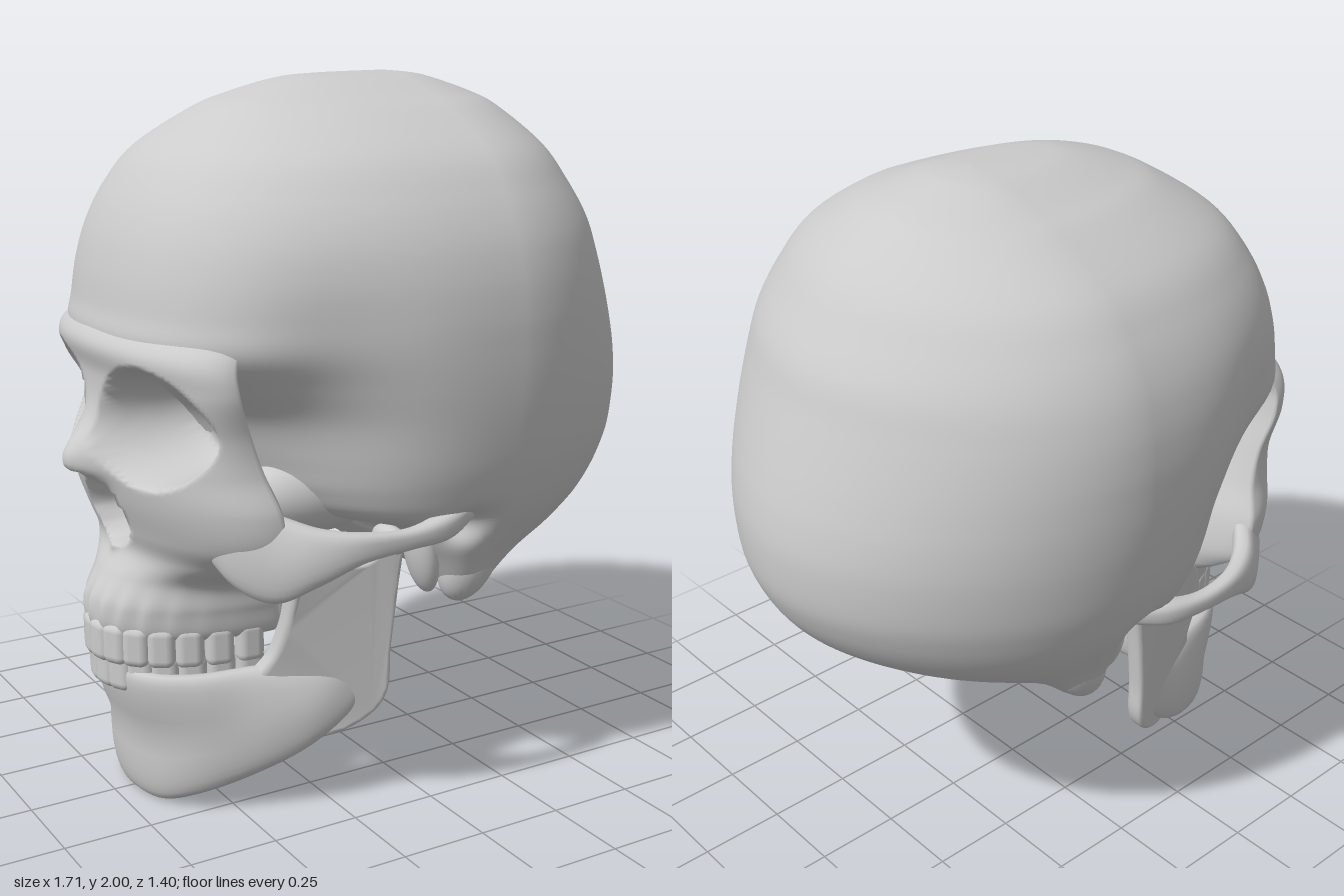
import * as THREE from 'three';
import { mergeVertices } from 'three/addons/utils/BufferGeometryUtils.js';
import { RoundedBoxGeometry } from 'three/addons/geometries/RoundedBoxGeometry.js';

const bone = new THREE.MeshStandardMaterial({ color: 0xcccccc, side: THREE.DoubleSide });
const { smoothstep, lerp } = THREE.MathUtils;
const bell = (v, centre, width) => Math.exp(-(((v - centre) / width) ** 2));
const squared = (v, p) => Math.sign(v) * Math.abs(v) ** p;

// Catmull-Rom through rows of numbers, t from 0 to 1
function spline(rows, t) {
  const f = t * (rows.length - 1);
  const i = Math.min(Math.floor(f), rows.length - 2);
  const k = f - i;
  const row = n => rows[Math.max(0, Math.min(rows.length - 1, n))];
  return rows[0].map((_, c) => {
    const [a, b, d, e] = [row(i - 1)[c], row(i)[c], row(i + 1)[c], row(i + 2)[c]];
    return b + 0.5 * k * (d - a + k * (2 * a - 5 * b + 4 * d - e + k * (3 * (b - d) + e - a)));
  });
}

// Closed rings joined into a smooth skin; point(angle, t) returns [x, y, z]
function skin(around, along, point) {
  const pos = [], idx = [];
  for (let j = 0; j <= along; j++) {
    for (let i = 0; i < around; i++) {
      pos.push(...point((i / around) * Math.PI * 2, j / along));
      if (j === along) continue;
      const a = j * around + i, b = j * around + ((i + 1) % around);
      idx.push(a, a + around, b, b, a + around, b + around);
    }
  }
  const g = new THREE.BufferGeometry();
  g.setAttribute('position', new THREE.Float32BufferAttribute(pos, 3));
  g.setIndex(idx);
  g.computeVertexNormals();
  return g;
}

// Stations: x, y, z, half height, half thickness, outward lean of the upper half
function sweep(stations, around, along) {
  return skin(around, along, (a, t) => {
    const [x, y, z, h, w, lean] = spline(stations, t);
    const p = spline(stations, Math.max(0, t - 0.01)), q = spline(stations, Math.min(1, t + 0.01));
    const dx = q[0] - p[0], dz = q[2] - p[2], len = Math.hypot(dx, dz) || 1;
    const up = squared(Math.sin(a), 0.75);
    const out = w * squared(Math.cos(a), 0.7) + lean * Math.max(0, up);
    return [x - (dz / len) * out, y + h * up, z + (dx / len) * out];
  });
}

function mirrorZ(geometry) {
  const g = geometry.clone().scale(1, 1, -1);
  const ix = g.index.array;
  for (let i = 0; i < ix.length; i += 3) [ix[i], ix[i + 1]] = [ix[i + 1], ix[i]];
  g.computeVertexNormals();
  return g;
}

// Braincase rings: y, front x, back x, half width (widest at x = MID)
const MID = 0.14;
const CRANIUM = [
  [2.0, MID, MID, 0], [1.993, -0.08, 0.22, 0.08], [1.98, -0.2, 0.28, 0.145], [1.94, -0.34, 0.4, 0.255],
  [1.9, -0.43, 0.47, 0.355], [1.8, -0.58, 0.58, 0.515], [1.7, -0.66, 0.65, 0.6], [1.6, -0.71, 0.71, 0.655],
  [1.5, -0.74, 0.745, 0.685], [1.4, -0.757, 0.78, 0.698], [1.31, -0.765, 0.81, 0.7], [1.22, -0.67, 0.835, 0.697],
  [1.12, -0.56, 0.85, 0.687], [1.0, -0.5, 0.845, 0.667], [0.92, -0.46, 0.82, 0.645], [0.85, -0.38, 0.78, 0.62],
  [0.79, -0.14, 0.725, 0.59], [0.72, -0.06, 0.62, 0.545], [0.66, 0, 0.48, 0.48], [0.63, 0.04, 0.36, 0.35],
  [0.64, MID, MID, 0],
];
function craniumGeometry() {
  return skin(120, 120, (a, t) => {
    const [y, front, back, w] = spline(CRANIUM, t);
    const c = Math.cos(a), p = c > 0 ? 2 / 2.4 : 2 / 1.85;
    const x = MID - (c > 0 ? MID - front : MID - back) * squared(c, p) * Math.sign(c);
    let z = Math.max(0, w) * squared(Math.sin(a), p);
    // hollow temples and ear openings
    const dent = 0.06 * bell(x, -0.38, 0.2) * bell(y, 1.15, 0.33) + 0.08 * bell(x, 0.05, 0.05) * bell(y, 0.81, 0.045);
    z -= Math.sign(z) * Math.min(Math.abs(z), dent);
    // base drawn down towards the mastoids
    const drop = 0.09 * bell(x, 0.14, 0.1) * bell(Math.abs(z), 0.45, 0.08) * (1 - smoothstep(y, 0.64, 0.8));
    return [x, y - drop, z];
  });
}

// Face rings: y, midline x, half width, side x, depth behind the side
const FACE = [
  [1.5, -0.64, 0.36, -0.4, 0.05], [1.4, -0.712, 0.415, -0.48, 0.05], [1.31, -0.79, 0.472, -0.575, 0.06],
  [1.22, -0.775, 0.49, -0.58, 0.07], [1.1, -0.775, 0.475, -0.54, 0.08], [1.0, -0.79, 0.485, -0.51, 0.1],
  [0.9, -0.77, 0.52, -0.48, 0.12], [0.8, -0.735, 0.51, -0.46, 0.13], [0.73, -0.72, 0.43, -0.44, 0.13],
  [0.66, -0.76, 0.31, -0.41, 0.12], [0.58, -0.8, 0.29, -0.38, 0.1], [0.5, -0.79, 0.27, -0.37, 0.08],
  [0.49, -0.7, 0.19, -0.42, 0.06], [0.56, -0.66, 0.13, -0.45, 0.05], [0.58, -0.56, 0, -0.55, 0],
];
function faceGeometry() {
  return skin(160, 140, (a, t) => {
    const [y, mid, w, side, depth] = spline(FACE, t);
    const c = Math.cos(a), z = w * Math.sin(a);
    if (c <= 0) return [side - depth * c, y, z * (1 + 0.35 * c)];
    let x = side - (side - mid) * c;
    // eye sockets
    const eye = ((Math.abs(z) - 0.25) / 0.195) ** 2 + ((y - 1.11) / 0.16) ** 2;
    x = Math.min(x + 0.26 * (1 - smoothstep(eye, 0.35, 1.05)), side + 0.02);
    // nasal bones, nasal opening and its lower spine
    x -= 0.075 * bell(z, 0, 0.075) * bell(y, 0.98, 0.1) * smoothstep(y, 0.9, 0.97);
    const halfNose = 0.115 - 0.28 * Math.max(0, y - 0.82);
    const nose = (z / halfNose) ** 2 + ((y - 0.845) / 0.115) ** 2;
    x += 0.16 * (1 - smoothstep(nose, 0.5, 1.05));
    x -= 0.02 * bell(z, 0, 0.02) * bell(y, 0.74, 0.025);
    // ridges over the tooth roots
    x -= 0.006 * Math.cos(28 * a) * bell(y, 0.56, 0.06) * c;
    return [x, y, z];
  });
}

// Cheekbone running back into a thin arch
const CHEEK = [
  [-0.63, 0.87, 0.33, 0.05, 0.02, 0], [-0.57, 0.82, 0.42, 0.11, 0.038, -0.01], [-0.49, 0.785, 0.5, 0.115, 0.038, -0.02],
  [-0.4, 0.795, 0.565, 0.075, 0.035, -0.01], [-0.29, 0.815, 0.605, 0.04, 0.028, 0], [-0.16, 0.82, 0.615, 0.028, 0.025, 0],
  [-0.04, 0.83, 0.595, 0.035, 0.035, 0], [0.06, 0.85, 0.54, 0.03, 0.04, 0],
];

// Left half of the jaw body, chin first
const JAW = [
  [-0.675, 0.205, 0, 0.205, 0.047, 0.07], [-0.65, 0.205, 0.13, 0.2, 0.047, 0.07], [-0.585, 0.225, 0.225, 0.18, 0.047, 0.03],
  [-0.46, 0.26, 0.305, 0.155, 0.045, -0.01], [-0.33, 0.3, 0.365, 0.125, 0.038, -0.02],
  [-0.22, 0.35, 0.4, 0.09, 0.025, 0], [-0.17, 0.38, 0.42, 0.04, 0.01, 0],
];
const JAW_FULL = [...JAW.slice(1).reverse().map(([x, y, z, ...r]) => [x, y, -z, ...r]), ...JAW];

// Upright jaw branch with its two upper processes, its foot turned in to meet the body
function ramusGeometry() {
  const outline = [
    [-0.47, 0.36], [-0.41, 0.44], [-0.385, 0.55], [-0.375, 0.68], [-0.34, 0.765], [-0.285, 0.745], [-0.22, 0.695],
    [-0.15, 0.71], [-0.11, 0.77], [-0.085, 0.74], [-0.1, 0.62], [-0.12, 0.45], [-0.125, 0.34], [-0.16, 0.275],
    [-0.24, 0.225], [-0.34, 0.21], [-0.43, 0.25],
  ].map(p => new THREE.Vector2(...p));
  const shape = new THREE.Shape().moveTo(outline[0].x, outline[0].y).splineThru([...outline.slice(1), outline[0]]);
  let g = new THREE.ExtrudeGeometry(shape, {
    depth: 0.025, curveSegments: 4, bevelThickness: 0.018, bevelSize: 0.015, bevelSegments: 3,
  });
  const p = g.attributes.position;
  for (let i = 0; i < p.count; i++) {
    const turn = lerp(0.42, 0.14, smoothstep(p.getY(i), 0.3, 0.7));
    p.setZ(i, p.getZ(i) + 0.415 + turn * (p.getX(i) + 0.11));
  }
  g.deleteAttribute('uv');
  g.deleteAttribute('normal');
  g = mergeVertices(g, 1e-4);
  g.computeVertexNormals();
  return g;
}

export function createModel() {
  const skull = new THREE.Group();
  skull.name = 'skull';
  const add = (name, geometry) => {
    const mesh = new THREE.Mesh(geometry, bone);
    mesh.name = name;
    skull.add(mesh);
    return mesh;
  };
  const addPair = (name, geometry) => {
    add(name + 'Left', geometry);
    add(name + 'Right', mirrorZ(geometry));
  };
  const knob = (centre, radii, tilt = 0) =>
    new THREE.SphereGeometry(1, 28, 20).scale(...radii).rotateZ(tilt).translate(...centre);

  add('cranium', craniumGeometry());
  add('upperFace', faceGeometry());
  addPair('cheekArch', sweep(CHEEK, 24, 48));

  // Skull base: wall behind the cheek and the processes below
  addPair('sphenoidWing', knob([-0.27, 0.9, 0.31], [0.22, 0.12, 0.12]));
  addPair('mastoidProcess', knob([0.16, 0.695, 0.445], [0.09, 0.155, 0.075], -0.4));
  addPair('styloidProcess', knob([0.01, 0.7, 0.42], [0.042, 0.12, 0.06], 0.2));
  addPair('pterygoidPlate', knob([-0.33, 0.66, 0.2], [0.05, 0.18, 0.04], 0.1));

  // Lower jaw
  add('jawBody', sweep(JAW_FULL, 32, 96));
  addPair('jawRamus', ramusGeometry());
  addPair('jawCondyle', knob([-0.1, 0.76, 0.43], [0.033, 0.04, 0.075]));

  // Tooth rows follow the jaw arches
  const tooth = new RoundedBoxGeometry(0.06, 0.12, 0.08, 3, 0.026);
  for (const [row, y, length, width] of [['upperTooth', 0.475, 0.4, 0.25], ['lowerTooth', 0.395, 0.385, 0.245]]) {
    for (let i = 0; i < 14; i++) {
      const a = ((i - 6.5) / 6.5) * 1.42;
      const mesh = add(row, tooth);
      mesh.position.set(-0.38 - length * Math.cos(a), y, width * Math.sin(a));
      mesh.rotation.y = Math.atan2(Math.sin(a) / width, Math.cos(a) / length);
    }
  }
  return skull;
}
